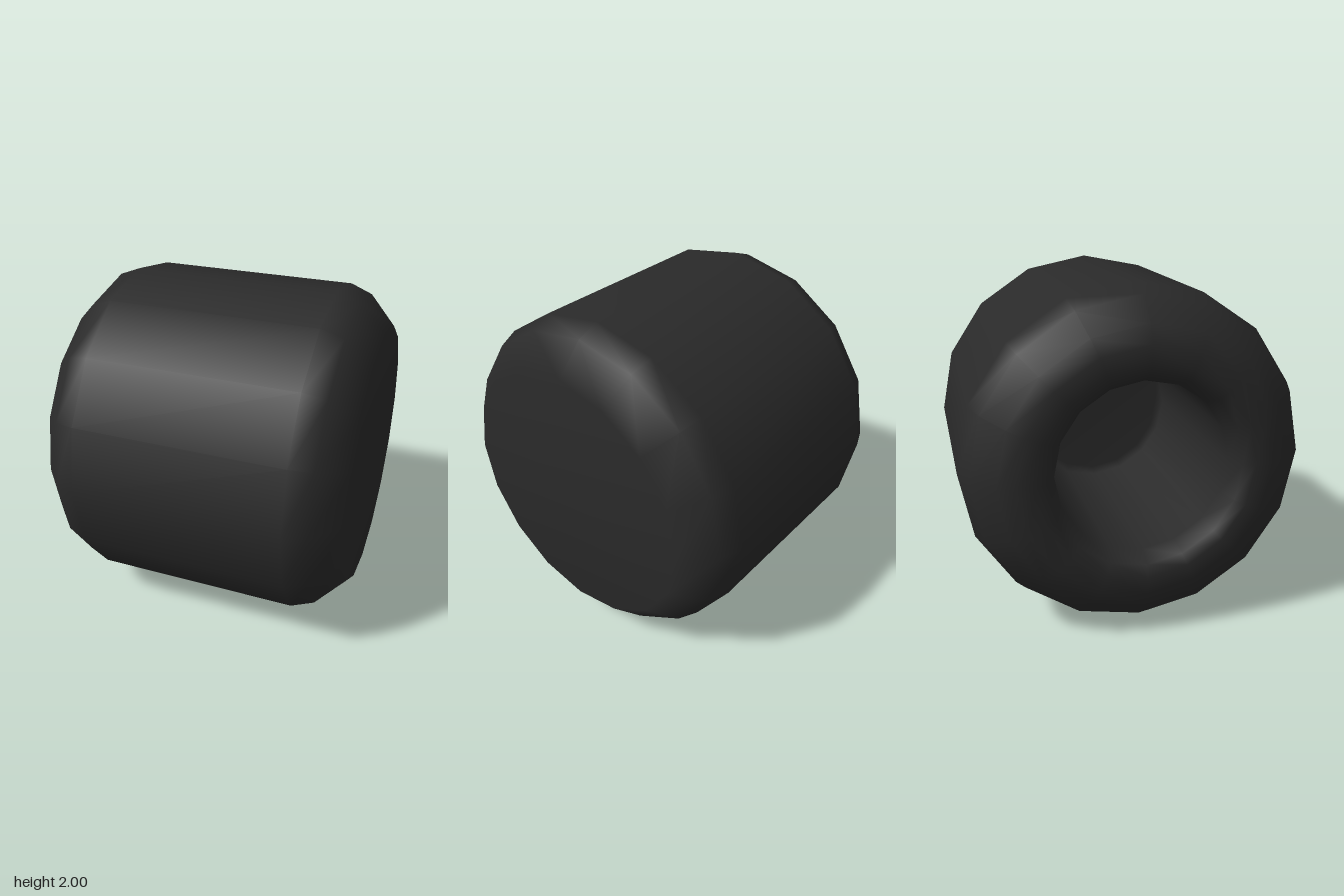
import * as THREE from 'three';

export function createModel() {
  const group = new THREE.Group();
  const material = new THREE.MeshStandardMaterial({ color: 0x2a2a2a });

  // Profile as [radius, x]: socket floor, socket wall, rounded lip, outer wall, closed end
  const profile = [
    [0, 0.4], [0.46, 0.4], [0.5, 0.36],
    [0.5, -0.78], [0.55, -0.88], [0.62, -0.9],
    [0.72, -0.9], [0.82, -0.86], [0.95, -0.74], [1, -0.61],
    [1, 0.61], [0.95, 0.74], [0.78, 0.9], [0, 0.9],
  ].map(([r, x]) => new THREE.Vector2(r, x));

  // Sixteen-sided smooth body turned to lie along x, socket opening at -x
  const geometry = new THREE.LatheGeometry(profile, 16);
  geometry.rotateZ(-Math.PI / 2);

  const body = new THREE.Mesh(geometry, material);
  body.name = 'socketedBody';
  body.position.y = 1;
  group.add(body);
  return group;
}
